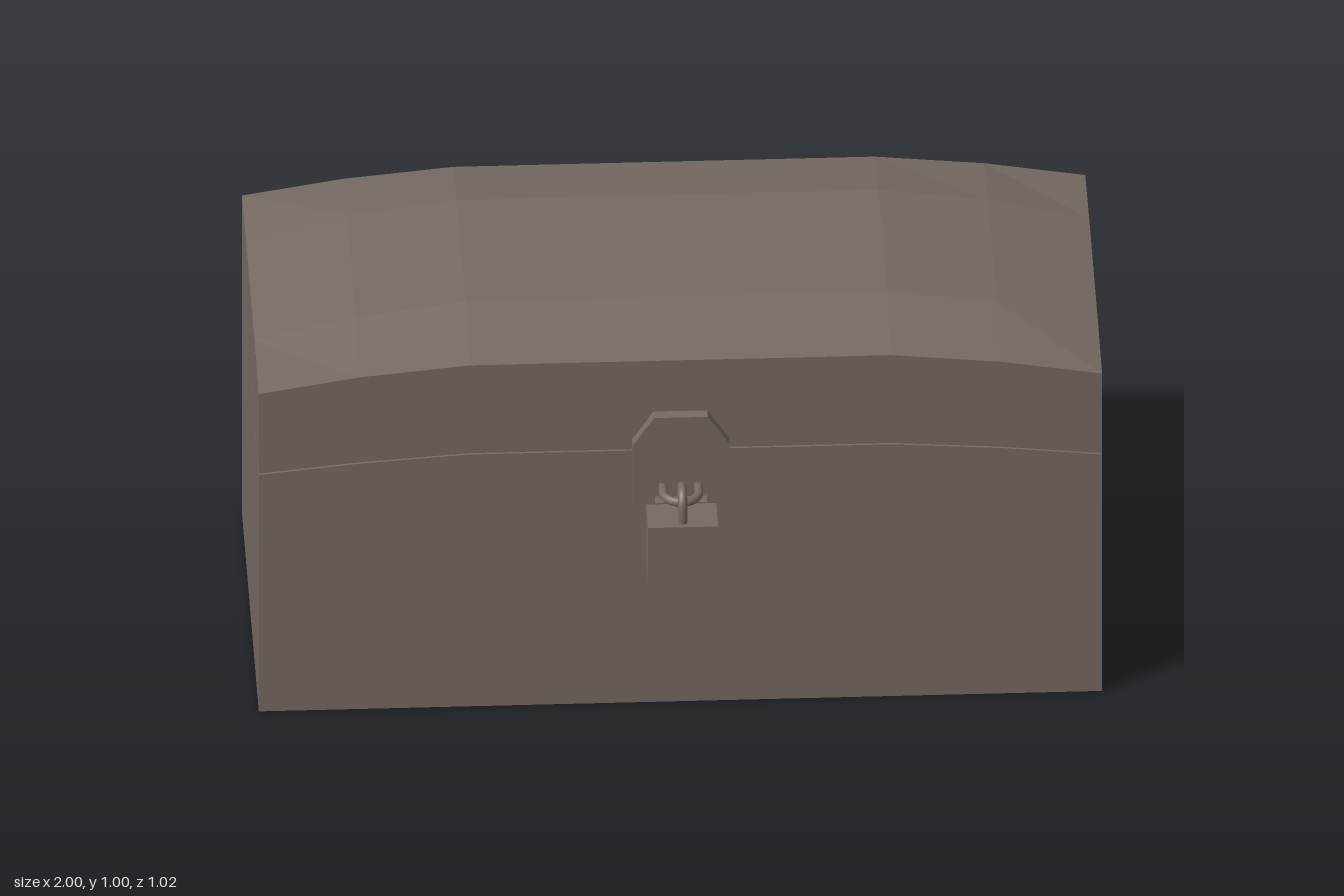
import * as THREE from 'three';

// Profile stations: along the length (x) and across the depth (z)
const XS = [-1, -0.76, -0.5, 0.5, 0.76, 1];
const ZS = [-0.51, -0.3, 0.15, 0.37];
const CROWN = [0.9, 0.96, 0.996, 0.996, 0.96, 0.9];
const EDGE = [0.89, 0.93, 0.956, 0.956, 0.93, 0.89];
const SEAM = [0.665, 0.69, 0.708, 0.708, 0.69, 0.665];

// Closed solid between two height fields over the x/z stations
function heightSolid(bottom, top) {
  const pos = [];
  const point = (i, j, h) => [XS[i], h(i, j), ZS[j]];
  const quad = (a, b, c, d) => pos.push(...a, ...b, ...c, ...a, ...c, ...d);
  const nx = XS.length - 1, nz = ZS.length - 1;
  for (let i = 0; i < nx; i++) {
    for (let j = 0; j < nz; j++) {
      const face = (h) => [point(i, j, h), point(i, j + 1, h), point(i + 1, j + 1, h), point(i + 1, j, h)];
      quad(...face(top));
      quad(...face(bottom).reverse());
    }
    // Front and back walls
    quad(point(i, nz, bottom), point(i + 1, nz, bottom), point(i + 1, nz, top), point(i, nz, top));
    quad(point(i + 1, 0, bottom), point(i, 0, bottom), point(i, 0, top), point(i + 1, 0, top));
  }
  // End walls
  for (let j = 0; j < nz; j++) {
    quad(point(nx, j + 1, bottom), point(nx, j, bottom), point(nx, j, top), point(nx, j + 1, top));
    quad(point(0, j, bottom), point(0, j + 1, bottom), point(0, j + 1, top), point(0, j, top));
  }
  const geo = new THREE.BufferGeometry();
  geo.setAttribute('position', new THREE.Float32BufferAttribute(pos, 3));
  geo.computeVertexNormals();
  return geo;
}

// U-shaped rod: half circle with two straight legs, lying in the xy plane
function uRod(radius, leg, tube) {
  const pts = [new THREE.Vector3(radius, -leg, 0), new THREE.Vector3(radius, -leg / 2, 0)];
  for (let k = 0; k <= 8; k++) {
    const a = (k / 8) * Math.PI;
    pts.push(new THREE.Vector3(radius * Math.cos(a), radius * Math.sin(a), 0));
  }
  pts.push(new THREE.Vector3(-radius, -leg / 2, 0), new THREE.Vector3(-radius, -leg, 0));
  return new THREE.TubeGeometry(new THREE.CatmullRomCurve3(pts), 32, tube, 10, false);
}

export function createModel() {
  const model = new THREE.Group();
  model.name = 'chest';
  const brown = new THREE.MeshStandardMaterial({ color: 0x766a63 });
  brown.name = 'greyBrown';

  const add = (name, geo, x = 0, y = 0, z = 0, parent = model) => {
    const mesh = new THREE.Mesh(geo, brown);
    mesh.name = name;
    mesh.position.set(x, y, z);
    parent.add(mesh);
    return mesh;
  };

  // Box and domed lid, separated by a hairline seam
  const lidTop = (i, j) => (j === 0 || j === ZS.length - 1 ? EDGE[i] : CROWN[i]);
  add('base', heightSolid(() => 0, (i) => SEAM[i] - 0.002));
  add('lid', heightSolid((i) => SEAM[i] + 0.002, lidTop));

  // Hasp plate with a slot for the staple
  const right = [[0.096, 0.502], [0.115, 0.567], [0.115, 0.737], [0.064, 0.814]];
  const left = right.map(([x, y]) => [-x, y]).reverse();
  const outline = (list) => list.map(([x, y]) => new THREE.Vector2(x, y));
  const plate = new THREE.Shape(outline([...right, ...left]));
  plate.holes.push(new THREE.Path(outline([[-0.062, 0.575], [-0.062, 0.63], [0.062, 0.63], [0.062, 0.575]])));
  add('haspPlate', new THREE.ExtrudeGeometry(plate, { depth: 0.03, bevelEnabled: false }), 0, 0, 0.369);

  // Staple reaching out through the slot
  add('staple', uRod(0.042, 0.04, 0.011), 0, 0.605, 0.402).rotation.x = Math.PI / 2;

  // Padlock
  const padlock = new THREE.Group();
  padlock.name = 'padlock';
  model.add(padlock);
  add('lockBody', new THREE.BoxGeometry(0.166, 0.167, 0.104), 0, 0.496, 0.463, padlock);
  add('shackle', uRod(0.035, 0.05, 0.011), 0, 0.617, 0.458, padlock).rotation.y = Math.PI / 2;
  return model;
}
